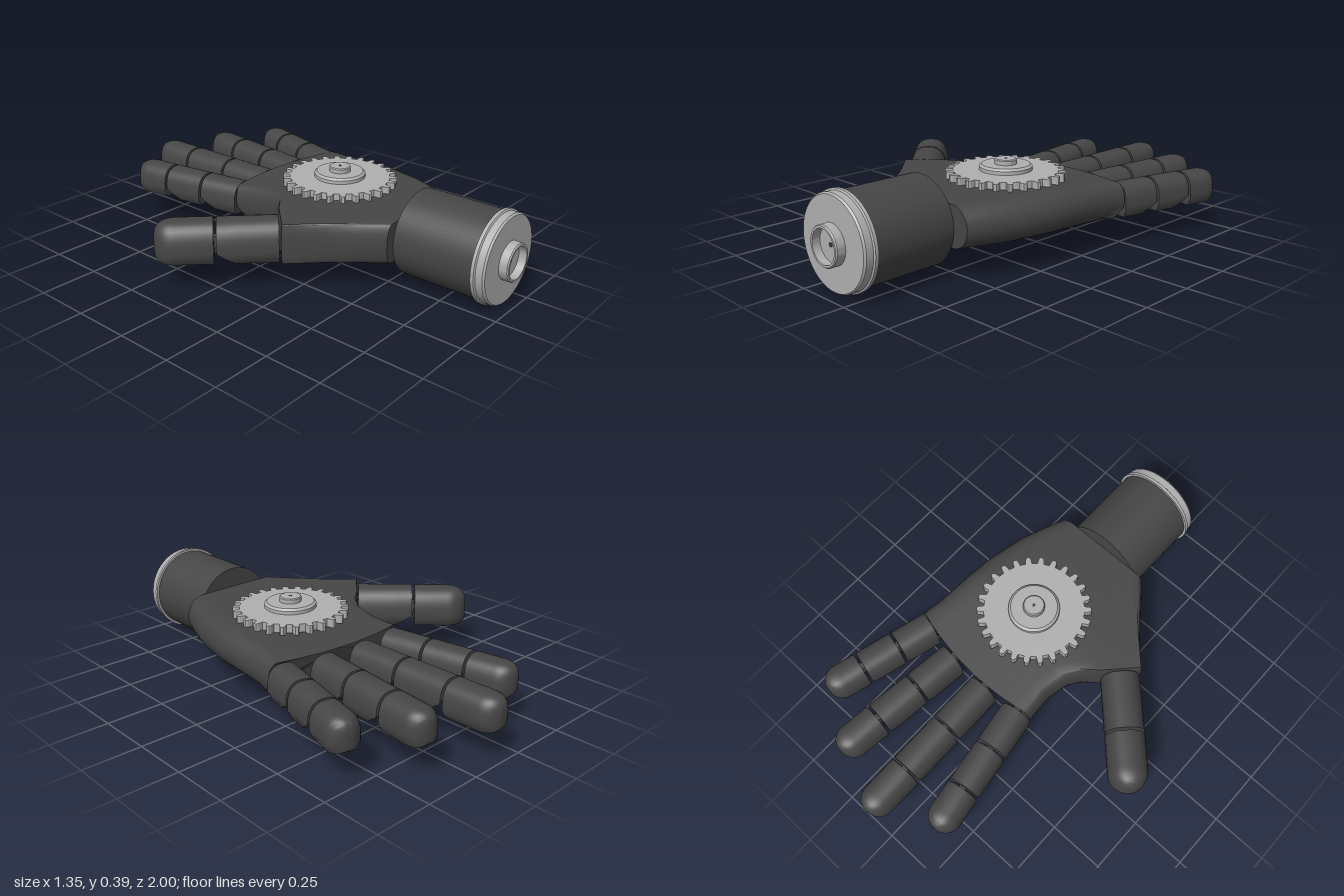
import * as THREE from 'three';
import { toCreasedNormals } from 'three/addons/utils/BufferGeometryUtils.js';

const HINGE_Y = 0.18; // undersides below this height are cut back at the joints

// Skin a series of equal rings running toward -z (each counterclockwise from +z) and close both ends.
function loft(rings, crease = 0.6) {
  const n = rings[0].length, pos = [], idx = [];
  rings.forEach(r => r.forEach(p => pos.push(...p)));
  for (let i = 0; i < rings.length - 1; i++) {
    for (let j = 0; j < n; j++) {
      const a = i * n + j, b = i * n + (j + 1) % n, c = b + n, d = a + n;
      idx.push(a, c, b, a, d, c);
    }
  }
  [0, rings.length - 1].forEach((i, end) => {
    const upper = rings[i].filter(p => p[1] >= HINGE_Y - 0.001);
    const mid = [0, 1, 2].map(k => upper.reduce((s, p) => s + p[k], 0) / upper.length);
    const c = pos.length / 3;
    pos.push(...mid);
    for (let j = 0; j < n; j++) {
      const a = i * n + j, b = i * n + (j + 1) % n;
      if (end) idx.push(c, b, a); else idx.push(c, a, b);
    }
  });
  const g = new THREE.BufferGeometry();
  g.setAttribute('position', new THREE.Float32BufferAttribute(pos, 3));
  g.setIndex(idx);
  return toCreasedNormals(g, crease);
}

function lathe(points, segments = 64) {
  const g = new THREE.LatheGeometry(points.map(p => new THREE.Vector2(...p)), segments);
  return toCreasedNormals(g, 0.5);
}

// Palm: flat slab with rounded sides, its top sloping down toward the fingers
function palmGeometry() {
  const rows = [ // z, left x, right x, left rounding, right rounding
    [0.545, -0.09, 0.40, 0.03, 0.08], [0.45, -0.165, 0.44, 0.03, 0.08],
    [0.34, -0.25, 0.48, 0.02, 0.08], [0.22, -0.355, 0.505, 0.005, 0.08],
    [0.16, -0.297, 0.517, 0.005, 0.08], [0.095, -0.235, 0.522, 0.005, 0.08],
    [0.04, -0.18, 0.527, 0.02, 0.075], [-0.02, -0.145, 0.53, 0.03, 0.07],
    [-0.13, -0.122, 0.537, 0.03, 0.06], [-0.28, -0.13, 0.55, 0.03, 0.04]
  ];
  const bottom = 0.127, flat = 12, round = 10;
  return loft(rows.map(([z, xl, xr, el, er], row) => {
    const top = 0.3 - 0.028 * THREE.MathUtils.clamp((0.08 - z) / 0.33, 0, 1);
    const mid = (top + bottom) / 2, h = (top - bottom) / 2, ring = [];
    const a = xl + el, b = xr - er;
    for (let i = 0; i < flat; i++) ring.push([a + (b - a) * i / flat, bottom, z]);
    for (let i = 0; i < round; i++) {
      const t = -Math.PI / 2 + Math.PI * i / round;
      ring.push([b + er * Math.cos(t), mid + h * Math.sin(t), z]);
    }
    for (let i = 0; i < flat; i++) ring.push([b + (a - b) * i / flat, top, z]);
    for (let i = 0; i < round; i++) {
      const t = Math.PI / 2 + Math.PI * i / round;
      ring.push([a + el * Math.cos(t), mid + h * Math.sin(t), z]);
    }
    // knuckle line is an arc, cut back underneath
    if (row === rows.length - 1) {
      ring.forEach(p => {
        p[2] = -0.28 + 0.4 * (p[0] - 0.13) ** 2 + Math.max(0, HINGE_Y - p[1]) * 1.1;
      });
    }
    return ring;
  }));
}

// Finger cross-section: domed top, flat chamfered underside
function fingerRing(r, top, bottom, z, w = 1, h = 1, cut = 0) {
  const pts = [[-r, bottom + 0.03], [-r * 0.78, bottom], [r * 0.78, bottom], [r, bottom + 0.03]];
  for (let i = 0; i <= 16; i++) {
    const t = Math.PI * i / 16, c = Math.cos(t);
    pts.push([r * Math.sign(c) * Math.abs(c) ** 0.8, HINGE_Y + (top - HINGE_Y) * Math.sin(t) ** 0.8]);
  }
  return pts.map(([x, y]) => [x * w, HINGE_Y + (y - HINGE_Y) * h, z + cut * Math.max(0, HINGE_Y - y)]);
}

// Three- or two-piece finger lying along -z, with a tab in each joint
function buildFinger(name, { base, tip, joints, r, top, bottom }, mat) {
  const group = new THREE.Group();
  group.name = name;
  const dx = tip[0] - base[0], dz = tip[1] - base[1], length = Math.hypot(dx, dz);
  group.position.set(base[0], 0, base[1]);
  group.rotation.y = Math.atan2(-dx, -dz);
  const stops = [0, ...joints, length], gap = 0.006;
  for (let i = 0; i < stops.length - 1; i++) {
    const start = -stops[i] - gap, last = i === stops.length - 2;
    const rings = [fingerRing(r, top, bottom, start)];
    if (last) {
      for (let k = 0; k <= 10; k++) {
        const t = k / 10 * 1.5, c = Math.cos(t);
        rings.push(fingerRing(r, top, bottom, -length - r * Math.sin(t), c, c ** 0.4));
      }
    } else {
      rings.push(fingerRing(r, top, bottom, -stops[i + 1] + 0.085));
      rings.push(fingerRing(r, top, bottom, -stops[i + 1] + gap, 1, 1, 1.4));
    }
    const piece = new THREE.Mesh(loft(rings, 0.7), mat);
    piece.name = last ? 'fingertip' : 'fingerSegment';
    const tab = new THREE.Mesh(new THREE.BoxGeometry(0.03, 0.05, 0.06), mat);
    tab.name = 'hingeTab';
    tab.position.set(0, 0.2, -stops[i]);
    group.add(piece, tab);
  }
  return group;
}

// Toothed disc lying flat
function gearGeometry(teeth, root, outer, depth) {
  const shape = new THREE.Shape(), step = Math.PI * 2 / teeth;
  for (let i = 0; i < teeth; i++) {
    [[-0.5, root], [-0.27, root], [-0.2, outer - 0.008], [-0.1, outer],
      [0.1, outer], [0.2, outer - 0.008], [0.27, root]].forEach(([f, rad], k) => {
      const a = (i + f) * step, x = Math.cos(a) * rad, y = Math.sin(a) * rad;
      if (i + k === 0) shape.moveTo(x, y); else shape.lineTo(x, y);
    });
  }
  shape.closePath();
  const g = new THREE.ExtrudeGeometry(shape, { depth, bevelEnabled: false });
  return g.rotateX(-Math.PI / 2);
}

export function createModel() {
  const model = new THREE.Group();
  model.name = 'mechanicalHand';
  const dark = new THREE.MeshStandardMaterial({ color: 0x464646 });
  dark.name = 'charcoal';
  const grey = new THREE.MeshStandardMaterial({ color: 0xb0b0b0 });
  grey.name = 'light grey';
  const add = (name, geometry, mat, x = 0, y = 0, z = 0) => {
    const m = new THREE.Mesh(geometry, mat);
    m.name = name;
    m.position.set(x, y, z);
    model.add(m);
    return m;
  };

  add('palm', palmGeometry(), dark);

  // Fingers and thumb
  const size = { r: 0.072, top: 0.27, bottom: 0.13 };
  const fingers = {
    indexFinger: { ...size, base: [-0.065, -0.265], tip: [-0.147, -0.79], joints: [0.203, 0.405] },
    middleFinger: { ...size, base: [0.115, -0.28], tip: [0.108, -0.928], joints: [0.243, 0.487] },
    ringFinger: { ...size, base: [0.31, -0.27], tip: [0.372, -0.823], joints: [0.21, 0.42] },
    littleFinger: { ...size, base: [0.485, -0.226], tip: [0.602, -0.67], joints: [0.178, 0.355] },
    thumb: { r: 0.086, top: 0.3, bottom: 0.127, base: [-0.295, 0.158], tip: [-0.594, -0.143], joints: [0.262] }
  };
  for (const [name, spec] of Object.entries(fingers)) model.add(buildFinger(name, spec, dark));

  // Wrist cuff with end flange and recessed socket
  const cx = 0.14, cy = 0.202;
  const cuff = lathe([[0, 0.545], [0.186, 0.545], [0.186, 0.906], [0, 0.906]]);
  add('wristCuff', cuff.rotateX(Math.PI / 2), dark, cx, cy);
  const flange = lathe([[0, 0.904], [0.197, 0.904], [0.197, 0.918], [0.19, 0.922], [0.19, 0.952],
    [0.184, 0.96], [0.081, 0.96], [0.081, 0.995], [0.077, 1], [0.068, 1], [0.068, 0.966], [0, 0.966]]);
  add('wristFlange', flange.rotateX(Math.PI / 2), grey, cx, cy);
  const hole = new THREE.CylinderGeometry(0.009, 0.009, 0.004, 20).rotateX(Math.PI / 2);
  add('socketHole', hole, dark, cx, cy, 0.967);

  // Gear and stepped hub on the back of the hand
  const gx = 0.165, gz = 0.103;
  add('gear', gearGeometry(26, 0.22, 0.251, 0.037), grey, gx, 0.293, gz);
  const hub = lathe([[0, 0.325], [0.112, 0.325], [0.112, 0.345], [0.102, 0.354], [0.047, 0.354],
    [0.047, 0.372], [0.043, 0.376], [0, 0.376]]);
  add('gearHub', hub, grey, gx, 0, gz);
  add('hubHole', new THREE.CylinderGeometry(0.007, 0.007, 0.004, 20), dark, gx, 0.375, gz);

  return model;
}
